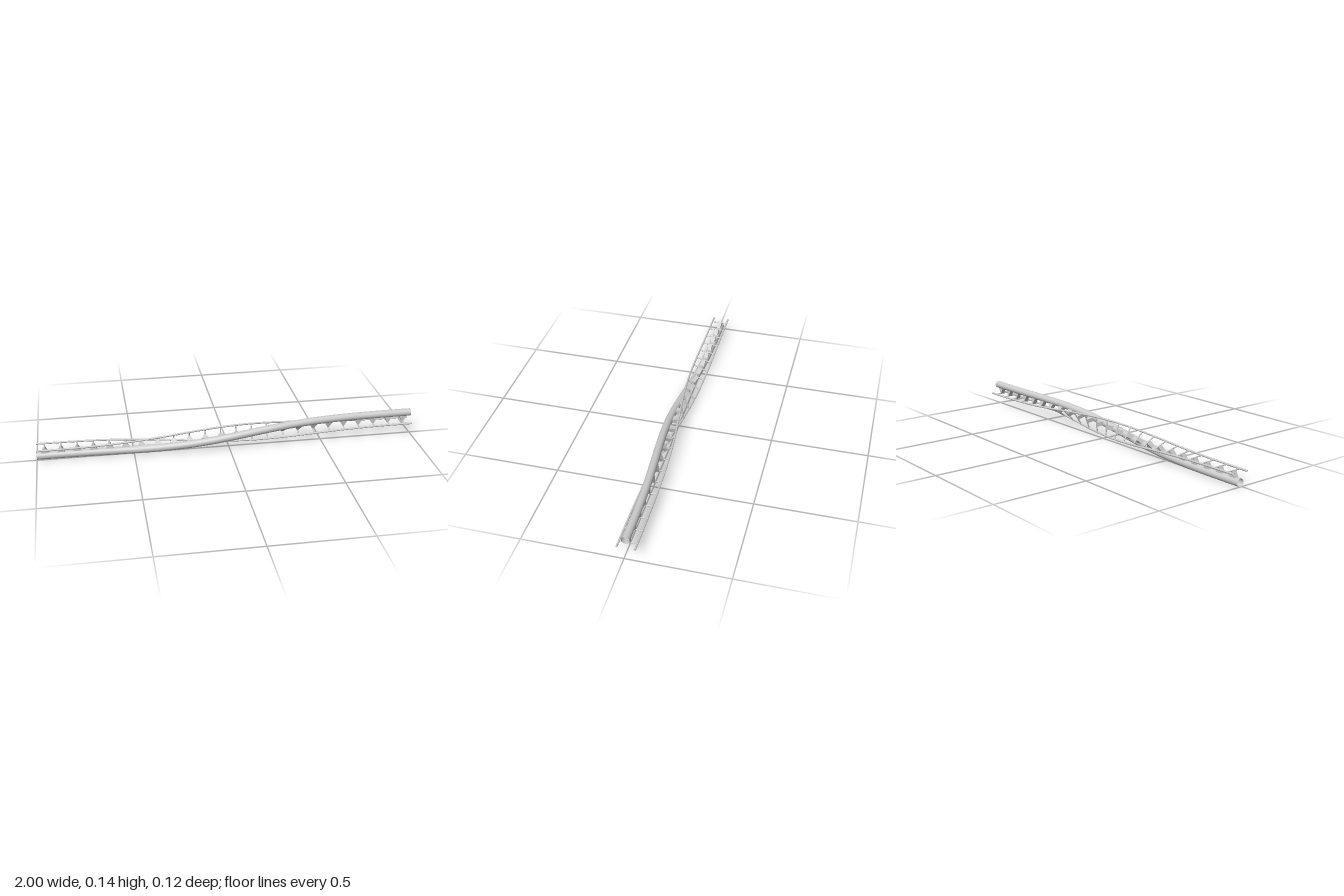
import * as THREE from 'three';

const AXIS_Y = 0.068, AXIS_Z = -0.01;      // roll axis of the track
const SPINE_OFFSET = 0.048, SPINE_RADIUS = 0.02;
const RAIL_OFFSET = 0.043, RAIL_RADIUS = 0.005;
const TIES = 24;

// Half roll along the length, eased at both ends
const roll = (x) => Math.PI * THREE.MathUtils.smootherstep(x, -1, 1);

// Path of a point fixed in the rolling cross-section
class RollingCurve extends THREE.Curve {
  constructor(y, z) {
    super();
    this.y = y;
    this.z = z;
  }
  getPoint(t, target = new THREE.Vector3()) {
    const x = t * 2 - 1, c = Math.cos(roll(x)), s = Math.sin(roll(x));
    return target.set(x, AXIS_Y + this.y * c + this.z * s, AXIS_Z - this.y * s + this.z * c);
  }
}

// Gusset: wide on the spine, narrowing along the track towards the crossbar
function gussetGeometry() {
  const bottom = -SPINE_OFFSET + SPINE_RADIUS - 0.003;
  const geo = new THREE.BoxGeometry(0.04, -bottom, 0.022);
  geo.translate(0, bottom / 2, 0);
  const pos = geo.attributes.position;
  for (let i = 0; i < pos.count; i++) {
    if (pos.getY(i) > bottom / 2) pos.setX(i, pos.getX(i) * 0.18);
  }
  geo.computeVertexNormals();
  return geo;
}

export function createModel() {
  const track = new THREE.Group();
  track.name = 'twistedTrack';
  const material = new THREE.MeshStandardMaterial({ color: 0xcccccc, side: THREE.DoubleSide });

  const add = (parent, name, geometry) => {
    const mesh = new THREE.Mesh(geometry, material);
    mesh.name = name;
    parent.add(mesh);
    return mesh;
  };

  // Open-ended spine pipe and the two running rails
  add(track, 'spine', new THREE.TubeGeometry(new RollingCurve(-SPINE_OFFSET, 0), 120, SPINE_RADIUS, 24));
  for (const [name, side] of [['frontRail', 1], ['backRail', -1]]) {
    add(track, name, new THREE.TubeGeometry(new RollingCurve(0, side * RAIL_OFFSET), 120, RAIL_RADIUS, 10));
  }

  // Ties: a crossbar between the rails, carried by a gusset on the spine
  const barGeo = new THREE.CylinderGeometry(0.0035, 0.0035, RAIL_OFFSET * 2, 8).rotateX(Math.PI / 2);
  const gussetGeo = gussetGeometry();
  for (let i = 0; i < TIES; i++) {
    const x = -1 + (i + 0.5) * 2 / TIES;
    const tie = new THREE.Group();
    tie.name = 'tie';
    tie.position.set(x, AXIS_Y, AXIS_Z);
    tie.rotation.x = -roll(x);
    add(tie, 'crossbar', barGeo);
    add(tie, 'gusset', gussetGeo);
    track.add(tie);
  }
  return track;
}
